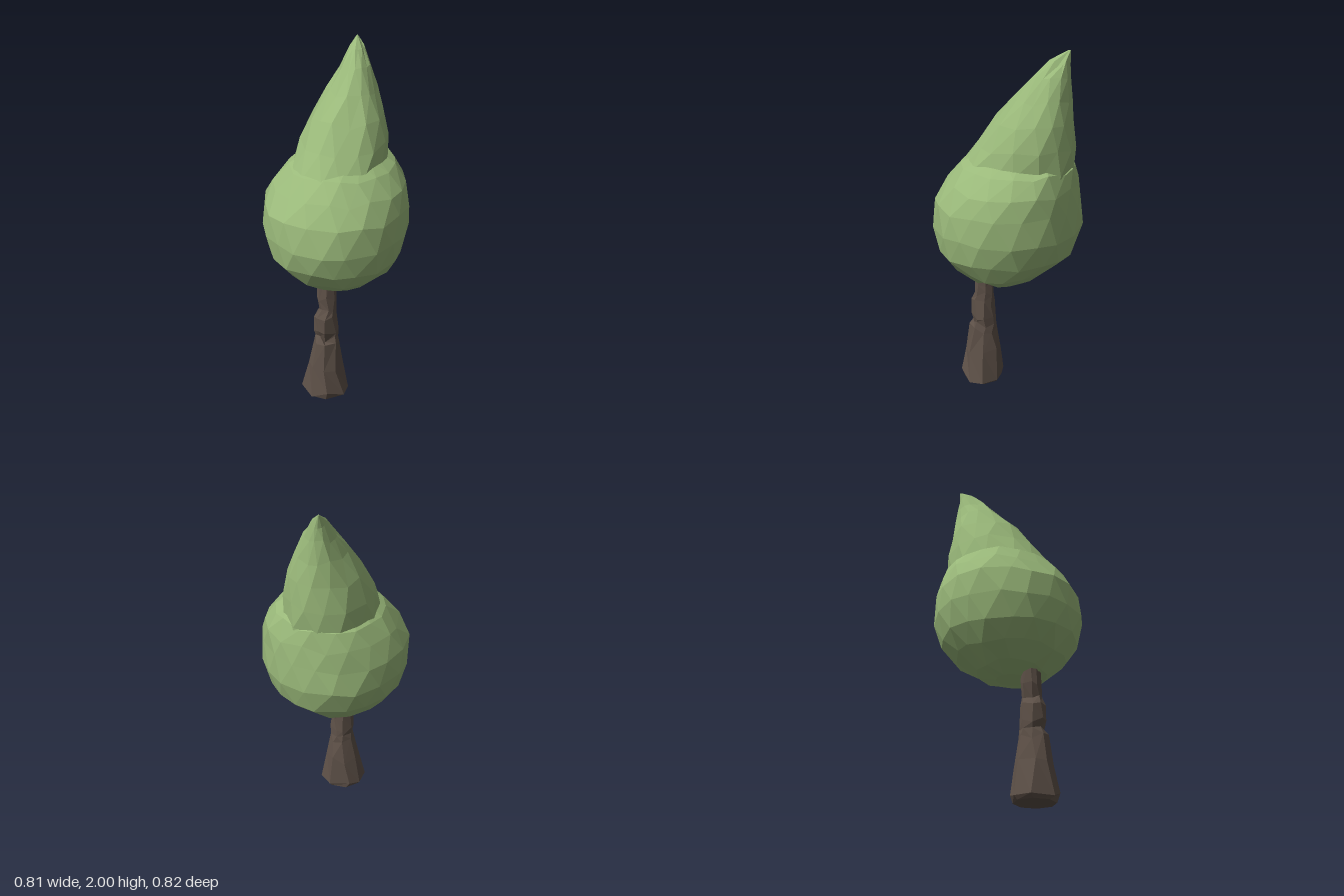
import * as THREE from 'three';

// Seeded noise in -1..1
function makeNoise(seed) {
  let s = seed;
  return () => {
    s = (s * 16807) % 2147483647;
    return (s / 2147483647) * 2 - 1;
  };
}

// Closed faceted loft through elliptical rings [y, xMin, xMax, zMin, zMax].
// With stagger, every second ring is turned half a step.
function loft(name, rings, sides, color, { jitter = 0, seed = 1, stagger = true } = {}) {
  const noise = makeNoise(seed);
  const pos = [];
  const index = [];
  const last = rings.length - 1;
  rings.forEach(([y, x0, x1, z0, z1], i) => {
    const rough = i === 0 || i === last ? 0 : jitter;
    for (let j = 0; j < sides; j++) {
      const turn = stagger ? (i % 2) / 2 : 0.5;
      const a = ((j + turn + noise() * rough * 8) / sides) * Math.PI * 2;
      const r = 1.01 + noise() * rough;
      pos.push(
        (x0 + x1) / 2 + (Math.cos(a) * r * (x1 - x0)) / 2,
        y + noise() * rough * 0.7,
        (z0 + z1) / 2 + (Math.sin(a) * r * (z1 - z0)) / 2
      );
    }
  });
  for (let i = 0; i < last; i++) {
    for (let j = 0; j < sides; j++) {
      const k = (j + 1) % sides;
      const a = i * sides + j, b = i * sides + k;
      const c = a + sides, d = b + sides;
      if (i % 2) index.push(a, c, d, a, d, b);
      else index.push(a, c, b, b, c, d);
    }
  }
  // End caps
  for (const [i, top] of [[0, false], [last, true]]) {
    const [y, x0, x1, z0, z1] = rings[i];
    const centre = pos.length / 3;
    pos.push((x0 + x1) / 2, y, (z0 + z1) / 2);
    for (let j = 0; j < sides; j++) {
      const a = i * sides + j, b = i * sides + ((j + 1) % sides);
      if (top) index.push(centre, b, a);
      else index.push(centre, a, b);
    }
  }
  const geo = new THREE.BufferGeometry();
  geo.setAttribute('position', new THREE.Float32BufferAttribute(pos, 3));
  geo.setIndex(index);
  geo.computeVertexNormals();
  const mesh = new THREE.Mesh(geo, new THREE.MeshStandardMaterial({ color, flatShading: true }));
  mesh.name = name;
  return mesh;
}

export function createModel() {
  const tree = new THREE.Group();
  tree.name = 'tree';
  const bark = 0x5e5148;
  const leaf = 0x9ab97a;

  // Flared trunk with knots, set forward of the centre
  tree.add(loft('trunk', [
    [0.00, -0.125, 0.105, 0.05, 0.27],
    [0.03, -0.145, 0.125, 0.035, 0.29],
    [0.20, -0.105, 0.09, 0.055, 0.26],
    [0.34, -0.078, 0.07, 0.075, 0.235],
    [0.38, -0.07, 0.062, 0.08, 0.205],
    [0.42, -0.075, 0.065, 0.08, 0.225],
    [0.51, -0.07, 0.052, 0.085, 0.225],
    [0.57, -0.042, 0.052, 0.087, 0.2],
    [0.64, -0.06, 0.05, 0.09, 0.2],
    [0.80, -0.058, 0.048, 0.095, 0.19],
  ], 8, bark, { jitter: 0.03, seed: 77, stagger: false }));

  // Round lower foliage
  tree.add(loft('lowerFoliage', [
    [0.69, -0.09, 0.09, -0.06, 0.11],
    [0.725, -0.2, 0.2, -0.16, 0.21],
    [0.80, -0.305, 0.31, -0.275, 0.315],
    [0.90, -0.37, 0.365, -0.36, 0.385],
    [1.03, -0.4, 0.4, -0.405, 0.41],
    [1.17, -0.395, 0.39, -0.4, 0.39],
    [1.28, -0.35, 0.36, -0.385, 0.32],
    [1.38, -0.275, 0.295, -0.365, 0.24],
    [1.44, -0.18, 0.2, -0.26, 0.14],
  ], 18, leaf, { jitter: 0.02, seed: 4211 }));

  // Pointed crown leaning to the back
  tree.add(loft('crown', [
    [1.20, -0.28, 0.28, -0.36, 0.3],
    [1.36, -0.255, 0.25, -0.37, 0.255],
    [1.50, -0.235, 0.24, -0.37, 0.155],
    [1.62, -0.185, 0.2, -0.36, 0.065],
    [1.75, -0.12, 0.145, -0.35, -0.045],
    [1.86, -0.07, 0.09, -0.34, -0.145],
    [1.94, -0.035, 0.045, -0.335, -0.23],
    [2.00, -0.012, -0.004, -0.334, -0.322],
  ], 14, leaf, { jitter: 0.025, seed: 915 }));

  return tree;
}
